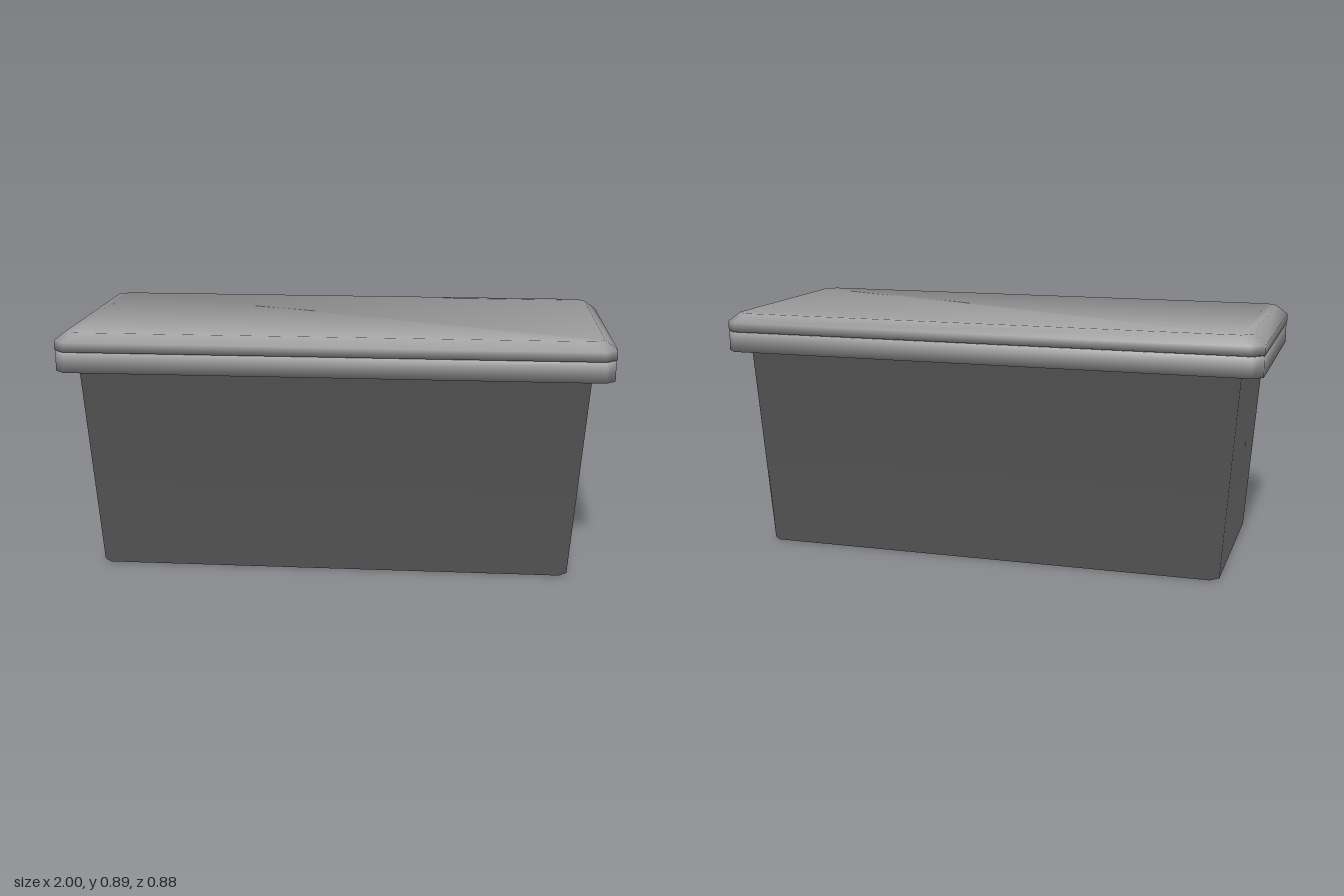
import * as THREE from 'three';

// Rectangle with cut corners, counter-clockwise from above
function ring([y, hx, hz, c]) {
  return [
    [-hx + c, -hz], [-hx, -hz + c], [-hx, hz - c], [-hx + c, hz],
    [hx - c, hz], [hx, hz - c], [hx, -hz + c], [hx - c, -hz],
  ].map(([x, z]) => new THREE.Vector3(x, y, z));
}

// Soft vertex normals: each face counts by its corner angle, not its area
function softNormals(points, index) {
  const normals = points.map(() => new THREE.Vector3());
  for (let t = 0; t < index.length; t += 3) {
    const tri = index.slice(t, t + 3);
    for (let k = 0; k < 3; k++) {
      const p = points[tri[k]];
      const u = points[tri[(k + 1) % 3]].clone().sub(p);
      const v = points[tri[(k + 2) % 3]].clone().sub(p);
      const angle = u.angleTo(v);
      normals[tri[k]].addScaledVector(u.cross(v).normalize(), angle);
    }
  }
  return normals.map((n) => n.normalize());
}

// Closed, smooth-shaded solid lofted through rings listed from bottom to top
function loft(name, levels) {
  const n = 8, index = [];
  for (let l = 0; l < levels.length - 1; l++) {
    for (let i = 0; i < n; i++) {
      const a = l * n + i, b = l * n + (i + 1) % n;
      index.push(a, b, b + n, a, b + n, a + n);
    }
  }
  const top = (levels.length - 1) * n;
  for (let i = 1; i < n - 1; i++) {
    index.push(0, i + 1, i);
    index.push(top, top + i, top + i + 1);
  }
  const points = levels.flatMap(ring);
  const attribute = (vectors) => new THREE.Float32BufferAttribute(vectors.flatMap((v) => v.toArray()), 3);
  const geometry = new THREE.BufferGeometry();
  geometry.setAttribute('position', attribute(points));
  geometry.setAttribute('normal', attribute(softNormals(points, index)));
  geometry.setIndex(index);
  const mesh = new THREE.Mesh(geometry, new THREE.MeshStandardMaterial({ color: 0xa0a0a0 }));
  mesh.name = name;
  return mesh;
}

export function createModel() {
  const model = new THREE.Group();
  model.name = 'liddedBox';

  // Each level: height, half width, half depth, corner cut
  // Tapered container that steps out into an overhanging rim
  model.add(loft('container', [
    [0, 0.865, 0.375, 0.03],
    [0.741, 0.92, 0.4, 0.03],
    [0.741, 0.997, 0.435, 0.035],
    [0.815, 0.997, 0.435, 0.035],
  ]));

  // Lid with a bevelled top edge
  model.add(loft('lid', [
    [0.817, 1, 0.44, 0.042],
    [0.852, 1, 0.44, 0.042],
    [0.886, 0.955, 0.422, 0.035],
  ]));

  return model;
}
